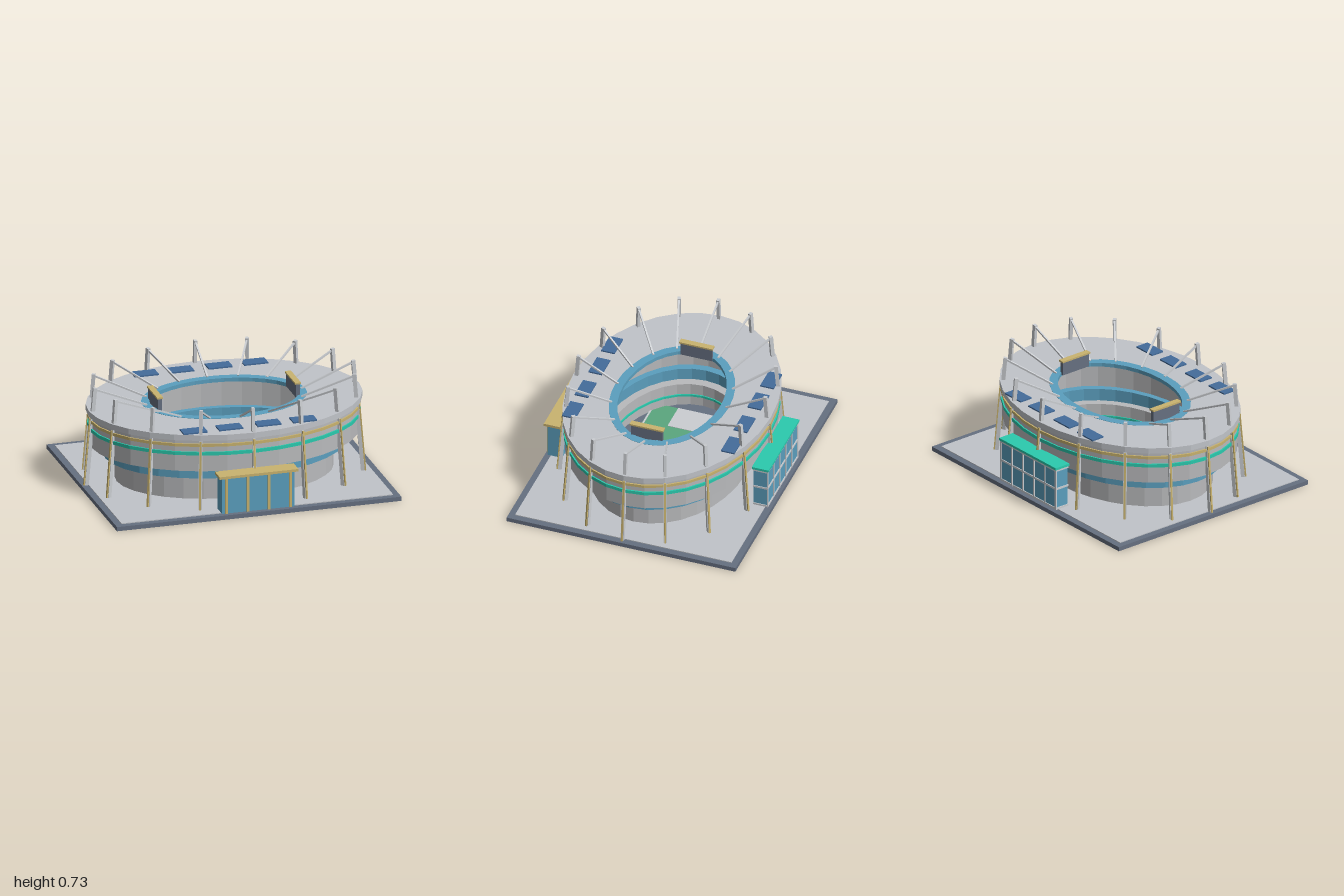
import * as THREE from 'three';

const mat = (name, color) => {
  const m = new THREE.MeshStandardMaterial({ color });
  m.name = name;
  return m;
};

export function createModel() {
  const stadium = new THREE.Group();
  stadium.name = 'stadium';

  const slate = mat('slate', 0x667081);
  const paving = mat('paving', 0xc1c4c9);
  const concrete = mat('concrete', 0xb9babc);
  const glass = mat('blue glass', 0x5b9fbe);
  const gold = mat('gold', 0xc9b36f);
  const teal = mat('teal', 0x2bcaae);
  const grass = mat('grass', 0x5ba67e);
  const solar = mat('solar blue', 0x446c9b);
  const steel = mat('pale steel', 0xcbced2);

  const add = (name, geometry, material, parent = stadium) => {
    const mesh = new THREE.Mesh(geometry, material);
    mesh.name = name;
    parent.add(mesh);
    return mesh;
  };

  // Box given by its min and max on each axis
  const box = (name, material, x0, x1, y0, y1, z0, z1, parent) => {
    const g = new THREE.BoxGeometry(x1 - x0, y1 - y0, z1 - z0);
    g.translate((x0 + x1) / 2, (y0 + y1) / 2, (z0 + z1) / 2);
    return add(name, g, material, parent);
  };

  const group = (name) => {
    const g = new THREE.Group();
    g.name = name;
    stadium.add(g);
    return g;
  };

  // Faceted elliptical loop and a ring extruded between two of them
  const SIDES = 32;
  const loop = (a, b) => Array.from({ length: SIDES }, (_, i) => {
    const t = (i / SIDES) * Math.PI * 2;
    return new THREE.Vector2(a * Math.cos(t), b * Math.sin(t));
  });
  const ring = (name, material, [a, b], inner, y0, y1, parent) => {
    const shape = new THREE.Shape(loop(a, b));
    if (inner) shape.holes.push(new THREE.Path(loop(inner[0], inner[1])));
    const g = new THREE.ExtrudeGeometry(shape, { depth: y1 - y0, bevelEnabled: false });
    g.rotateX(-Math.PI / 2);
    g.translate(0, y0, 0);
    return add(name, g, material, parent);
  };

  // Square bar between two points
  const bar = (name, material, p, q, width, depth, parent) => {
    const dir = q.clone().sub(p);
    const mesh = add(name, new THREE.BoxGeometry(width, depth, dir.length()), material, parent);
    mesh.position.copy(p).add(q).multiplyScalar(0.5);
    mesh.lookAt(q);
    return mesh;
  };

  // Ground
  box('base', slate, -1, 1, 0, 0.03, -0.82, 0.82);
  box('plaza', paving, -0.955, 0.955, 0.03, 0.036, -0.775, 0.775);

  // Pitch and markings
  const pitch = group('pitch');
  ring('pitchSurround', slate, [0.61, 0.44], null, 0.036, 0.04, pitch);
  box('grass', grass, -0.52, 0.52, 0.04, 0.046, -0.32, 0.32, pitch);
  box('halfwayLine', steel, -0.006, 0.006, 0.046, 0.049, -0.31, 0.31, pitch);
  const circle = new THREE.RingGeometry(0.084, 0.094, 40);
  circle.rotateX(-Math.PI / 2);
  circle.translate(0, 0.049, 0);
  add('centreCircle', circle, steel, pitch);
  for (const s of [-1, 1]) {
    box('touchLine', steel, -0.5, 0.5, 0.046, 0.049, s * 0.311 - 0.006, s * 0.311 + 0.006, pitch);
    box('penaltyArea', steel, s * 0.415 - 0.105, s * 0.415 + 0.105, 0.046, 0.049, -0.145, 0.145, pitch);
  }

  // Stepped bowl, roof and trim rings
  ring('lowerBowl', concrete, [0.755, 0.53], [0.61, 0.44], 0.036, 0.21);
  ring('glassBand', glass, [0.835, 0.605], [0.67, 0.49], 0.21, 0.295);
  ring('upperBowl', concrete, [0.93, 0.692], [0.72, 0.53], 0.295, 0.52);
  ring('roof', paving, [0.95, 0.707], [0.57, 0.402], 0.52, 0.56);
  ring('roofInnerRim', glass, [0.572, 0.404], [0.515, 0.345], 0.535, 0.562);
  ring('goldBand', gold, [0.94, 0.702], [0.92, 0.68], 0.474, 0.494);
  ring('tealBand', teal, [0.94, 0.702], [0.92, 0.68], 0.412, 0.436);
  ring('innerLightBand', teal, [0.615, 0.445], [0.602, 0.432], 0.112, 0.128);

  // Leaning masts with gold outer strips and roof cables
  const masts = group('masts');
  for (let i = 0; i < 16; i++) {
    const t = (i / 16) * Math.PI * 2;
    const at = (a, b, y) => new THREE.Vector3(a * Math.cos(t), y, b * Math.sin(t));
    const foot = at(0.967, 0.725, 0.034);
    const top = at(0.908, 0.668, 0.725);
    bar('mast', steel, foot, top, 0.022, 0.026, masts);
    const out = at(1, 1, 0).multiplyScalar(0.016);
    const stripEnd = foot.clone().lerp(top, 0.69);
    bar('mastStrip', gold, foot.clone().add(out), stripEnd.add(out), 0.013, 0.012, masts);
    bar('cable', steel, at(0.905, 0.666, 0.712), at(0.54, 0.385, 0.562), 0.012, 0.012, masts);
  }

  // Solar panels on the roof
  const panels = group('solarPanels');
  for (const z of [-0.57, 0.57])
    for (const x of [-0.385, -0.135, 0.135, 0.385])
      box('solarPanel', solar, x - 0.084, x + 0.084, 0.56, 0.57, z - 0.048, z + 0.048, panels);

  // Scoreboards at both ends of the opening
  for (const s of [-1, 1]) {
    const board = group(s > 0 ? 'leftScoreboard' : 'rightScoreboard');
    const x = s * 0.485;
    box('screen', slate, x - 0.014, x + 0.014, 0.545, 0.64, -0.113, 0.113, board);
    box('screenCap', gold, x - 0.021, x + 0.021, 0.64, 0.652, -0.12, 0.12, board);
  }

  // Front entrance
  const entrance = group('frontEntrance');
  box('entranceGlass', glass, -0.255, 0.255, 0.036, 0.29, 0.695, 0.8, entrance);
  box('entranceCanopy', gold, -0.277, 0.277, 0.29, 0.308, 0.703, 0.818, entrance);
  for (const x of [-0.225, -0.075, 0.075, 0.225])
    box('entrancePost', gold, x - 0.009, x + 0.009, 0.036, 0.29, 0.8, 0.809, entrance);

  // Rear glass hall with a pale frame
  const hall = group('rearHall');
  box('hallGlass', glass, -0.293, 0.293, 0.036, 0.335, -0.79, -0.69, hall);
  box('hallRoof', teal, -0.303, 0.303, 0.335, 0.352, -0.802, -0.683, hall);
  for (const y of [0.044, 0.19, 0.327])
    box('hallRail', steel, -0.298, 0.298, y - 0.007, y + 0.007, -0.796, -0.688, hall);
  for (let i = 0; i < 6; i++) {
    const x = -0.291 + i * 0.1164;
    box('hallMullion', steel, x - 0.006, x + 0.006, 0.036, 0.335, -0.797, -0.788, hall);
  }

  return stadium;
}
